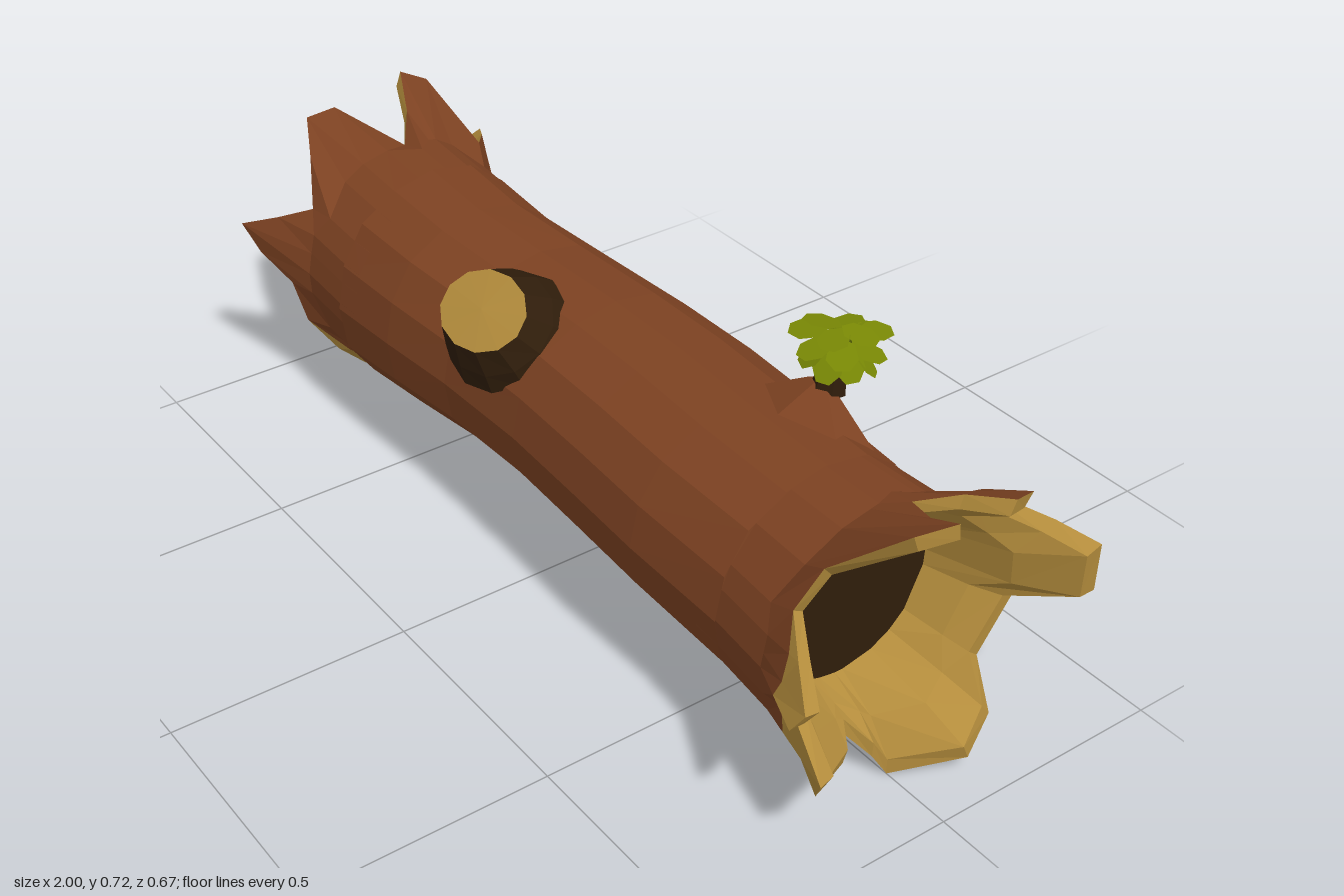
import * as THREE from 'three';

const mat = (name, color) => Object.assign(new THREE.MeshStandardMaterial({ color }), { name });
const V = (x, y, z) => new THREE.Vector3(x, y, z);
const SIDES = 16, CY = 0.345, CZ = 0.01, HOLE = 0.187;

// Log sections: x, bottom y, top y, back z, front z
const SECTIONS = [
  [-0.8, 0.085, 0.6, -0.25, 0.25], [-0.64, 0.08, 0.595, -0.24, 0.255],
  [-0.45, 0.105, 0.585, -0.225, 0.25], [-0.25, 0.12, 0.572, -0.245, 0.235],
  [0, 0.13, 0.575, -0.255, 0.235], [0.2, 0.12, 0.572, -0.262, 0.24],
  [0.4, 0.115, 0.567, -0.255, 0.248], [0.64, 0.09, 0.56, -0.24, 0.24],
  [0.8, 0.08, 0.565, -0.25, 0.255],
];

// Broken ends, clockwise as seen from +x: x, y, z of each rim point,
// then how far the bark reaches towards it (1 when left out)
const LEFT_RIM = [
  [0.99, 0.675, 0.13], [1, 0.668, 0.04], [0.91, 0.615, 0.015], [0.82, 0.575, -0.03],
  [0.89, 0.61, -0.08], [0.97, 0.63, -0.12], [0.95, 0.61, -0.18], [0.82, 0.53, -0.2],
  [0.92, 0.49, -0.28], [0.99, 0.46, -0.325], [0.98, 0.35, -0.335], [0.86, 0.3, -0.265],
  [0.85, 0.18, -0.2], [0.9, 0.08, -0.195], [0.93, 0.035, -0.12, 0.8], [0.85, 0, 0, 0.4],
  [0.84, 0.05, 0.03, 0.4], [0.8, 0.105, 0.075, 0.5], [0.85, 0.085, 0.11, 0.35],
  [0.92, 0.13, 0.235, 0.3], [0.98, 0.22, 0.28, 0.3], [0.87, 0.285, 0.25, 0.6],
  [0.95, 0.35, 0.33, 0.45], [0.97, 0.385, 0.315, 0.45], [0.89, 0.42, 0.265, 0.7],
  [0.82, 0.46, 0.22], [0.85, 0.55, 0.185],
];
const RIGHT_RIM = [
  [-0.97, 0.62, 0.125], [-0.98, 0.62, 0.05], [-0.8, 0.58, -0.02], [-0.87, 0.62, -0.07],
  [-0.96, 0.67, -0.11], [-0.95, 0.64, -0.17], [-0.8, 0.53, -0.21], [-0.9, 0.49, -0.28],
  [-0.98, 0.46, -0.325, 0.4], [-1, 0.41, -0.325, 0.4], [-0.82, 0.31, -0.25],
  [-0.93, 0.22, -0.245], [-0.95, 0.13, -0.17], [-0.9, 0.09, -0.1], [-0.87, 0.075, -0.04, 0.3],
  [-0.83, 0.065, 0.06, 0], [-0.79, 0.075, 0.12, 0], [-0.8, 0.13, 0.18, 0.5],
  [-0.83, 0.21, 0.235], [-0.84, 0.31, 0.26], [-0.92, 0.36, 0.29],
  [-0.96, 0.42, 0.31], [-0.88, 0.455, 0.26], [-0.81, 0.49, 0.21], [-0.86, 0.585, 0.18],
];

// Faceted normals
function facet(geometry) {
  const g = geometry.index ? geometry.toNonIndexed() : geometry;
  g.computeVertexNormals();
  return g;
}

// Closed rings joined by flat panels
function loft(rings, flip = false) {
  const pos = [], n = rings[0].length;
  for (let i = 0; i + 1 < rings.length; i++) {
    for (let j = 0; j < n; j++) {
      const k = (j + 1) % n;
      const [a, b, c, d] = [rings[i][j], rings[i + 1][j], rings[i + 1][k], rings[i][k]];
      for (const p of flip ? [a, c, b, a, d, c] : [a, b, c, a, c, d]) pos.push(p.x, p.y, p.z);
    }
  }
  const g = new THREE.BufferGeometry();
  g.setAttribute('position', new THREE.Float32BufferAttribute(pos, 3));
  return facet(g);
}

// Corner j of the log at station x
function corner(x, j) {
  const cx = THREE.MathUtils.clamp(x, -0.8, 0.8);
  let i = 0;
  while (i < SECTIONS.length - 2 && cx > SECTIONS[i + 1][0]) i++;
  const t = (cx - SECTIONS[i][0]) / (SECTIONS[i + 1][0] - SECTIONS[i][0]);
  const [, y0, y1, z0, z1] = SECTIONS[i].map((v, m) => THREE.MathUtils.lerp(v, SECTIONS[i + 1][m], t));
  const a = (j % SIDES) / SIDES * Math.PI * 2;
  const bump = 1 + 0.012 * Math.sin((j % SIDES) * 2.4);
  return V(x, (y0 + y1) / 2 + Math.cos(a) * bump * (y1 - y0) / 2,
    (z0 + z1) / 2 - Math.sin(a) * bump * (z1 - z0) / 2);
}

// Point on the log surface at any angle
function onLog(x, angle) {
  const s = ((angle / (Math.PI * 2) + 1) % 1) * SIDES, j = Math.floor(s);
  return corner(x, j).lerp(corner(x, j + 1), s - j);
}

export function createModel() {
  const bark = mat('bark', 0x7d4222), wood = mat('bareWood', 0xb38c3c);
  const dark = mat('darkWood', 0x2f1d0b), leaf = mat('leaf', 0x788705);
  leaf.side = THREE.DoubleSide;

  const model = new THREE.Group();
  model.name = 'hollowLog';
  const add = (name, geometry, material, parent = model) => {
    const m = new THREE.Mesh(geometry, material);
    m.name = name;
    parent.add(m);
    return m;
  };

  // Trunk
  const rings = SECTIONS.slice(1, -1).map(([x]) =>
    Array.from({ length: SIDES }, (_, j) => corner(x, j)));
  add('trunk', loft(rings), bark);

  // Splintered hollow ends, overlapping the trunk
  for (const [name, rim, s, depth] of [['leftEnd', LEFT_RIM, 1, 0.72], ['rightEnd', RIGHT_RIM, -1, 0.69]]) {
    const end = new THREE.Group();
    end.name = name;
    model.add(end);
    const tips = rim.map(([x, y, z]) => V(x, y, z));
    const angles = tips.map(p => Math.atan2(CZ - p.z, p.y - CY));
    const inner = (x, a, r) => V(x, CY + Math.cos(a) * r, CZ - Math.sin(a) * r);
    const base = angles.map(a => onLog(s * 0.58, a));
    const seam = angles.map(a => onLog(s * 0.64, a));
    const bend = tips.map((p, i) => onLog(s * Math.min(0.78, Math.abs(p.x) - 0.06), angles[i]));
    const edge = bend.map((p, i) => p.clone().lerp(tips[i], rim[i][3] ?? 1));
    // Thick splinters: narrow lip, swollen inner face, then the hole
    const radius = tips.map(p => Math.hypot(p.y - CY, p.z - CZ));
    const lip = tips.map((p, i) => inner(p.x, angles[i], radius[i] * 0.9));
    const swell = tips.map((p, i) => inner(THREE.MathUtils.lerp(p.x, s * depth, 0.38), angles[i],
      THREE.MathUtils.lerp(radius[i], HOLE, 0.66)));
    const hole = angles.map(a => inner(s * depth, a, HOLE));
    const middle = angles.map(() => V(s * depth, CY, CZ));
    add('splinterBark', loft([base, seam, bend, edge], s < 0), bark, end);
    add('splinterWood', loft([edge, tips, lip, swell, hole], s < 0), wood, end);
    add('hollow', loft([hole, middle], s < 0), dark, end);
  }

  // Sawn branch stump, facing up and forward
  const oval = (x, y, z, rx, ru) => Array.from({ length: 12 }, (_, i) => {
    const a = i / 12 * Math.PI * 2, u = Math.sin(a) * ru;
    return V(x + Math.cos(a) * rx, y - 0.61 * u, z + 0.79 * u);
  });
  const cut = oval(-0.155, 0.55, 0.195, 0.12, 0.085);
  const stump = new THREE.Group();
  stump.name = 'branchStump';
  model.add(stump);
  add('stumpSide', loft([oval(-0.15, 0.485, 0.14, 0.15, 0.133),
    oval(-0.15, 0.515, 0.163, 0.143, 0.115), cut]), dark, stump);
  add('stumpCut', loft([cut, oval(-0.155, 0.554, 0.198, 0, 0)]), wood, stump);

  // Sprout: bark mound, stem and three tiers of leaves
  const sprout = new THREE.Group();
  sprout.name = 'sprout';
  model.add(sprout);
  const mound = add('mound', facet(new THREE.CylinderGeometry(0.03, 0.155, 0.075, 6)), bark, sprout);
  mound.position.set(0.47, 0.555, -0.115);
  mound.rotation.x = -0.35;
  mound.scale.z = 0.62;
  const stem = add('stem', facet(new THREE.CylinderGeometry(0.015, 0.034, 0.11, 6)), dark, sprout);
  stem.position.set(0.485, 0.632, -0.142);
  stem.rotation.set(-0.1, 0, -0.1);

  const shape = new THREE.Shape([[0, 0], [0.023, 0.014], [0.029, 0.047], [0.013, 0.071],
    [-0.013, 0.071], [-0.029, 0.047], [-0.023, 0.014]].map(p => new THREE.Vector2(...p)));
  const blade = facet(new THREE.ShapeGeometry(shape).rotateX(Math.PI / 2));
  // count, height, distance out, droop, turn
  for (const [count, y, out, droop, turn] of [
    [4, 0.708, 0, 0.1, 0.5], [7, 0.697, 0.024, 0.25, 0], [7, 0.683, 0.022, 0.9, 0.4],
  ]) {
    for (let i = 0; i < count; i++) {
      const a = turn + i / count * Math.PI * 2;
      const m = add('leaf', blade, leaf, sprout);
      m.position.set(0.49 + Math.sin(a) * out, y + 0.006 * Math.sin(i * 2.3), -0.15 + Math.cos(a) * out);
      m.rotation.set(droop + 0.15 * Math.sin(i * 1.7), a, 0.2 * Math.sin(i * 2.9), 'YXZ');
    }
  }
  return model;
}
